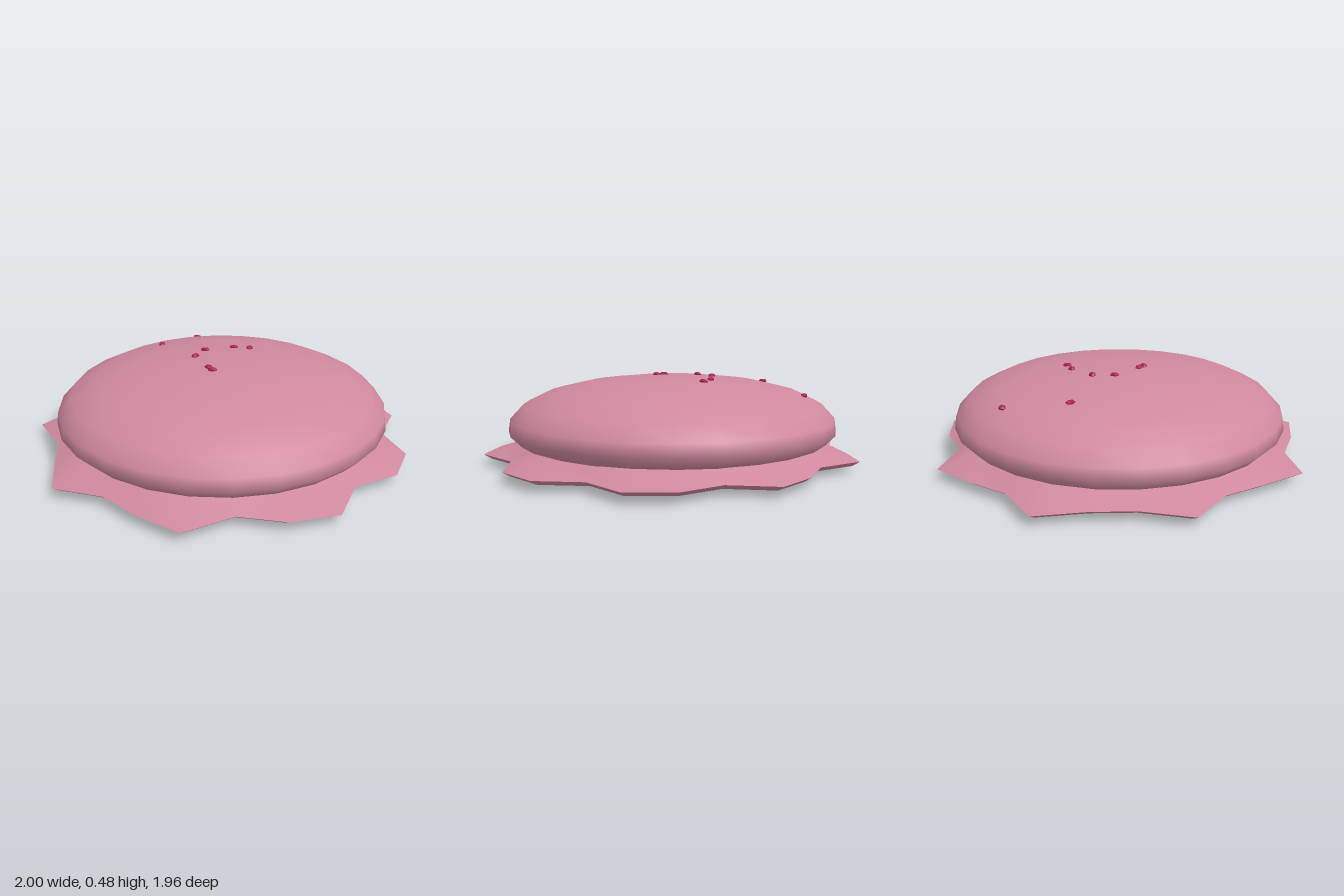
import * as THREE from 'three';
import { mergeVertices } from 'three/addons/utils/BufferGeometryUtils.js';

const SIDES = 26;

// Rim radius at each side, going from +x towards +z
const RIM = [
  1.0, 0.892, 1.024, 0.98, 0.889, 1.033, 0.963, 0.911, 1.039, 0.94, 0.9, 1.025, 0.91,
  0.92, 1.027, 0.894, 0.93, 1.003, 0.86, 0.937, 0.993, 0.867, 0.972, 0.996, 0.877, 0.997,
];

// Smooth turned shape; profile rows are [radius, y, how far the radius follows the ragged rim]
function turned(profile) {
  const points = profile.map(([r, y]) => new THREE.Vector2(r, y));
  let geo = new THREE.LatheGeometry(points, SIDES, Math.PI / 2);
  const pos = geo.attributes.position;
  for (let k = 0; k < pos.count; k++) {
    const side = Math.floor(k / profile.length) % SIDES;
    const follow = profile[k % profile.length][2] ?? 0;
    const s = 1 + (RIM[(SIDES - side) % SIDES] - 1) * follow;
    pos.setXYZ(k, pos.getX(k) * s, pos.getY(k), pos.getZ(k) * s);
  }
  geo.deleteAttribute('normal');
  geo.deleteAttribute('uv');
  geo = mergeVertices(geo, 1e-5);
  geo.computeVertexNormals();
  return geo;
}

const DOME = [
  [0.79, 0.11], [0.83, 0.125], [0.885, 0.18], [0.875, 0.245], [0.805, 0.32],
  [0.67, 0.385], [0.47, 0.432], [0.22, 0.46], [0, 0.464],
];

// Height of the dome's upper surface at a given radius
function domeHeight(r) {
  for (let i = DOME.length - 1; i > 3; i--) {
    const [r0, y0] = DOME[i], [r1, y1] = DOME[i - 1];
    if (r <= r1) return y0 + ((y1 - y0) * (r - r0)) / (r1 - r0);
  }
  return DOME[3][1];
}

export function createModel() {
  const group = new THREE.Group();
  const pink = new THREE.MeshStandardMaterial({ name: 'pink shell', color: 0xd0899f });
  const crimson = new THREE.MeshStandardMaterial({ name: 'crimson crumb', color: 0xa92450 });
  const add = (name, geo, mat) => {
    const mesh = new THREE.Mesh(geo, mat);
    mesh.name = name;
    group.add(mesh);
    return mesh;
  };

  // Rounded dome
  add('dome', turned(DOME), pink).position.z = 0.012;

  // Ragged skirt: sloping top and shallow underside meeting at a sharp rim
  add('skirtTop', turned([[1, 0.057, 1], [0.9, 0.084, 0.6], [0.78, 0.124, 0]]), pink);
  add('skirtUnderside', turned([
    [0, 0], [0.45, 0.001, 0.3], [0.7, 0.004, 0.7], [0.96, 0.032, 1], [1, 0.057, 1],
  ]), pink);

  // Crumbs scattered on the dome: [x, z, turn]
  const crumbGeo = new THREE.IcosahedronGeometry(0.027, 0).scale(1, 0.5, 0.75);
  [
    [-0.49, -0.5, 0.5], [-0.51, -0.155, -0.8], [-0.18, -0.105, 0.5], [-0.17, 0.01, 1.5],
    [-0.07, -0.235, 0.6], [0.01, -0.275, 1.7], [-0.015, 0.12, -0.3], [0.02, 0.14, 0.5],
  ].forEach(([x, z, turn], i) => {
    const crumb = add(`crumb${i + 1}`, crumbGeo, crimson);
    crumb.position.set(x, domeHeight(Math.hypot(x, z - 0.012)) + 0.003, z);
    crumb.rotation.y = turn;
  });
  crimson.flatShading = true;

  return group;
}
